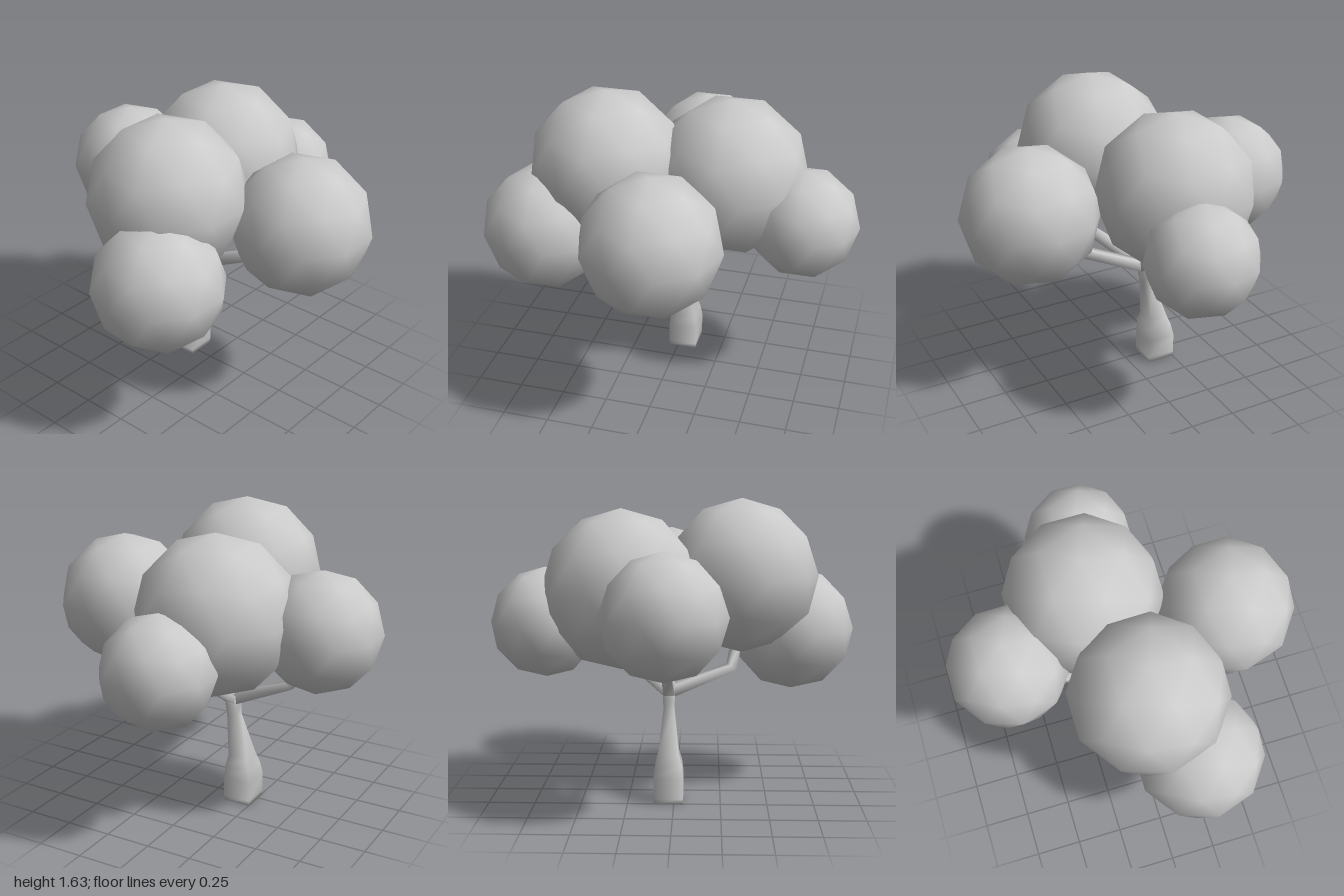
import * as THREE from 'three';

const material = new THREE.MeshStandardMaterial({ color: 0xcccccc });

// Square-section limb lofted along [x, y, z, halfWidth] stations, with shared
// vertices so the shading stays soft. Sections lie across the path.
function limb(name, stations, upright = false) {
  const points = stations.map(([x, y, z]) => new THREE.Vector3(x, y, z));
  const pos = [], index = [];
  const last = points.length - 1;
  points.forEach((p, i) => {
    const dir = new THREE.Vector3();
    if (upright) dir.set(0, 1, 0);
    else {
      if (i > 0) dir.add(p.clone().sub(points[i - 1]).normalize());
      if (i < last) dir.add(points[i + 1].clone().sub(p).normalize());
      dir.normalize();
    }
    // Fixed reference keeps neighbouring sections from twisting
    const run = points[last].clone().sub(points[0]);
    const ref = upright ? new THREE.Vector3(0, 0, 1) : new THREE.Vector3(-run.z, 0, run.x).normalize();
    const u = ref.addScaledVector(dir, -ref.dot(dir)).normalize();
    const v = dir.clone().cross(u);
    const h = stations[i][3];
    for (const [a, b] of [[1, 1], [-1, 1], [-1, -1], [1, -1]]) {
      pos.push(...p.clone().addScaledVector(u, a * h).addScaledVector(v, b * h).toArray());
    }
  });
  for (let i = 0; i < last; i++) {
    for (let k = 0; k < 4; k++) {
      const a = i * 4 + k, b = i * 4 + ((k + 1) % 4);
      index.push(a, b, b + 4, a, b + 4, a + 4);
    }
  }
  const e = last * 4;
  index.push(0, 2, 1, 0, 3, 2, e, e + 1, e + 2, e, e + 2, e + 3);
  const geometry = new THREE.BufferGeometry();
  geometry.setAttribute('position', new THREE.Float32BufferAttribute(pos, 3));
  geometry.setIndex(index);
  geometry.computeVertexNormals();
  const mesh = new THREE.Mesh(geometry, material);
  mesh.name = name;
  return mesh;
}

export function createModel() {
  const tree = new THREE.Group();
  tree.name = 'tree';

  // Leaning trunk with a thick foot
  tree.add(limb('trunk', [
    [-0.175, 0, -0.03, 0.078],
    [-0.175, 0.03, -0.03, 0.08],
    [-0.175, 0.14, -0.03, 0.08],
    [-0.17, 0.21, -0.03, 0.071],
    [-0.165, 0.27, -0.03, 0.055],
    [-0.115, 0.5, -0.03, 0.029],
    [-0.11, 0.56, -0.03, 0.032],
    [-0.108, 0.62, -0.03, 0.03],
  ], true));

  // Branches spreading from the fork
  const fork = [-0.11, 0.59, -0.03, 0.03];
  tree.add(limb('rightBranch', [fork, [-0.45, 0.735, -0.03, 0.025], [-0.475, 0.88, -0.03, 0.024]]));
  tree.add(limb('frontBranch', [fork, [0.05, 0.695, 0.31, 0.025], [0.06, 0.86, 0.34, 0.024]]));
  tree.add(limb('leftBranch', [fork, [0.2, 0.74, -0.035, 0.027], [0.48, 0.87, -0.035, 0.025]]));
  tree.add(limb('backBranch', [fork, [0, 0.76, -0.26, 0.025], [-0.03, 0.87, -0.38, 0.024]]));

  // Foliage: faceted balls with soft shading, one vertex pointing straight up
  const ball = new THREE.IcosahedronGeometry(1, 1);
  ball.rotateZ(-Math.atan(2 / (1 + Math.sqrt(5))));
  const foliage = new THREE.Group();
  foliage.name = 'foliage';
  const balls = [
    ['rightFoliage', -0.62, 1.065, -0.04, 0.325],
    ['leftFoliage', 0.573, 1.067, -0.038, 0.37],
    ['frontTopFoliage', 0.021, 1.207, 0.36, 0.419],
    ['backTopFoliage', -0.14, 1.147, -0.282, 0.43],
    ['frontLowFoliage', 0.215, 0.893, 0.652, 0.345],
    ['backLowFoliage', -0.053, 0.96, -0.7, 0.3],
  ];
  for (const [name, x, y, z, r] of balls) {
    const mesh = new THREE.Mesh(ball, material);
    mesh.name = name;
    mesh.position.set(x, y, z);
    mesh.scale.setScalar(r);
    foliage.add(mesh);
  }
  tree.add(foliage);
  return tree;
}
